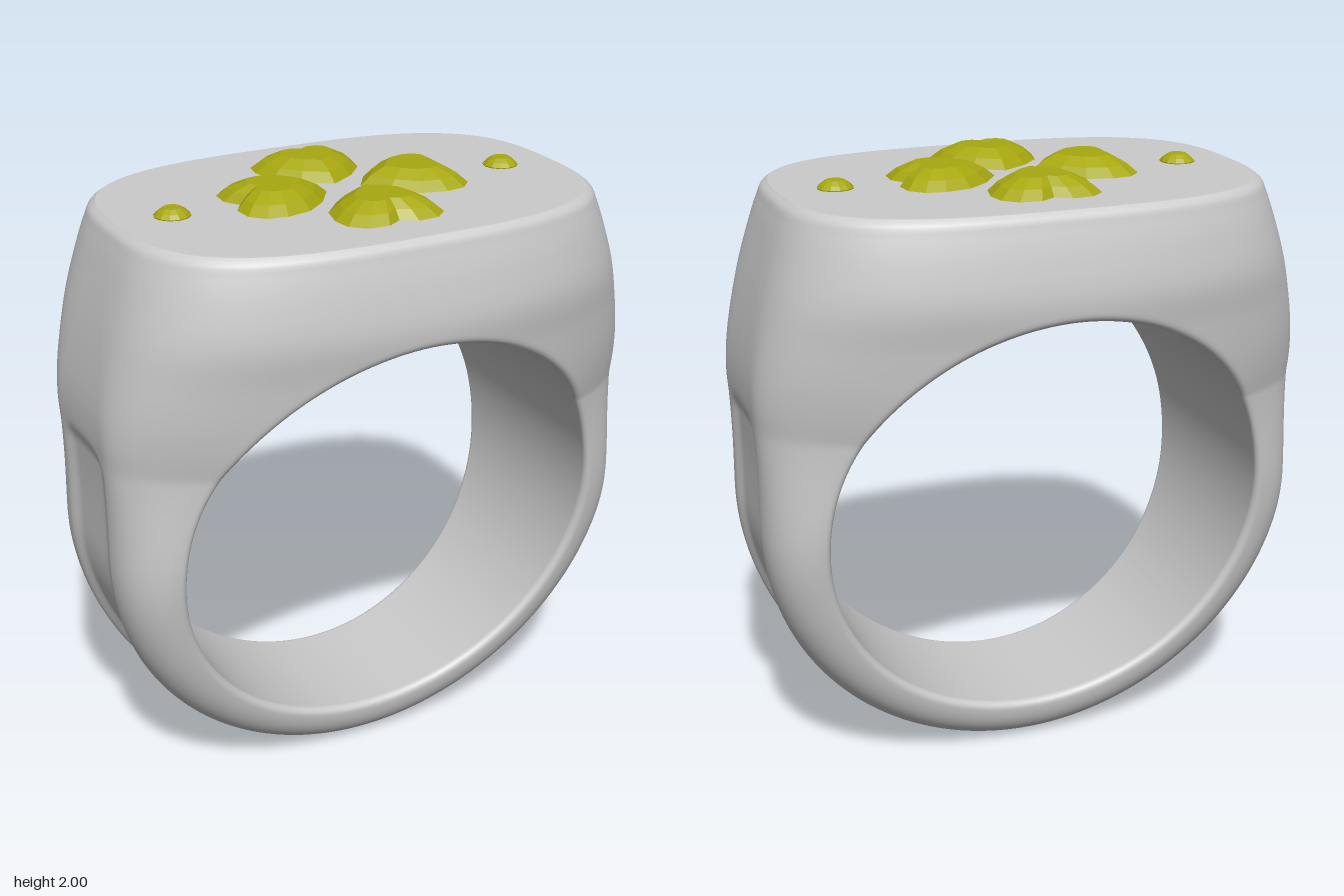
import * as THREE from 'three';

const TOP = 1.945, CY = 0.886;      // flat top height, finger hole centre
const HX = 0.737, HY = 0.723;       // finger hole half width and half height
const { lerp, clamp, smoothstep } = THREE.MathUtils;

// smooth curve through [y, value] pairs
function curve(pairs) {
  const c = new THREE.CubicInterpolant(pairs.map(p => p[0]), pairs.map(p => p[1]), 1, [0]);
  return y => c.evaluate(y)[0];
}

// half depth of the shank along the hole edge, by height
const shankDepth = curve([[0.16, 0.25], [0.3, 0.278], [0.545, 0.322], [0.915, 0.386], [1.26, 0.46], [1.61, 0.57]]);
// half depth of the head and shoulders on the middle plane, by height
const headDepth = curve([[0.8, 0.52], [1.1, 0.55], [1.4, 0.57], [1.55, 0.58], [1.68, 0.593], [1.8, 0.577],
  [1.9, 0.553], [1.93, 0.543], [TOP, 0.526]]);
// half width of the shoulders by height
const shoulderAt = curve([[0.915, 0.915], [1.1, 0.914], [1.25, 0.918], [1.33, 0.922], [1.42, 0.917], [1.6, 0.885],
  [1.8, 0.832], [1.9, 0.8], [1.93, 0.787], [TOP, 0.768]]);
const widthAt = y => y < 0.915 ? Math.sqrt(Math.max(0, 0.915 ** 2 - (y - 0.915) ** 2)) : shoulderAt(y);

// distance from the hole centre to the outer silhouette
function outerRadius(phi) {
  let lo = 0.7, hi = 1.6;
  for (let i = 0; i < 40; i++) {
    const r = (lo + hi) / 2, y = CY + r * Math.cos(phi);
    if (y < TOP && Math.abs(r * Math.sin(phi)) < widthAt(y)) lo = r; else hi = r;
  }
  return lo;
}

const round = (t, n) => Math.pow(Math.max(0, 1 - Math.pow(Math.min(1, t), n)), 1 / n);

// skin a grid of points (rows of equal length)
function skin(rows) {
  const w = rows[0].length, index = [];
  for (let i = 0; i < rows.length - 1; i++) for (let j = 0; j < w - 1; j++) {
    const a = i * w + j, b = a + w;
    index.push(a, b, b + 1, a, b + 1, a + 1);
  }
  const g = new THREE.BufferGeometry();
  g.setAttribute('position', new THREE.Float32BufferAttribute(rows.flat(2), 3));
  g.setIndex(index);
  g.computeVertexNormals();
  return g;
}

// closed cross-section of the band at one angle
function section(phi, corner) {
  const s = Math.sin(phi), c = Math.cos(phi), R = outerRadius(phi);
  const rin = 1 / Math.hypot(s / HX, c / HY);
  const low = smoothstep(-c, 0, 1);
  const channel = lerp(0.18, 0.1, low);             // half width of the outer channel
  const upper = smoothstep(c, -0.2, 0.55);
  const W = shankDepth(CY + rin * c);
  const half = [];
  // side face, from the hole out to the silhouette, with a small fillet at the hole
  const N = 30, F = 0.025;
  for (let k = 0; k <= N; k++) {
    const q = 0.5 - 0.5 * Math.cos(k / N * Math.PI), r = lerp(rin, R, q);
    const y = CY + r * c;
    const t = clamp((y - 1.25) / (TOP - 1.25), 0, 1);
    const flat = 0.18 * (1 - t * t);
    const head = flat + (headDepth(y) - flat) * round(Math.abs(r * s) / widthAt(y), lerp(1.85, 3, t));
    const shank = channel + (W - channel) * round(q, 2.2);
    const d = Math.max(0, 1 - (r - rin) / F);
    half.push([r, lerp(shank, head, upper) - F * (1 - Math.sqrt(1 - d * d))]);
  }
  // outer face: flat on top, a channel deepening down the shank
  const edge = half[N][1], yOut = CY + R * c;
  const depth = Math.abs(phi) > corner ? lerp(0.014, 0.06, low) : 0;
  const lip = lerp(0.4, 0.85, low);
  for (let k = 1; k <= 12; k++) {
    const t = Math.pow(k / 12, 1.4);
    // the channel ends in a rounded arch on the shoulder
    const arch = 1.29 - 0.06 * Math.pow(1 - t, 4);
    const cut = depth * smoothstep(t, 0, lip) * (1 - smoothstep(yOut, arch - 0.05, arch));
    half.push([R - cut, edge * (1 - t)]);
  }
  const back = half.slice(0, -1).reverse().map(([r, z]) => [r, -z]);
  return [[rin, 0], ...half, ...back, [rin, 0]].map(([r, z]) => [r * s, CY + r * c, z]);
}

function bandGeometry() {
  const corner = Math.atan2(0.768, TOP - CY);
  const angles = [];
  for (let i = 0; i <= 50; i++) angles.push(corner * Math.sin(i / 50 * Math.PI / 2));
  for (let i = 1; i <= 150; i++) angles.push(corner + (Math.PI - corner) * Math.pow(i / 150, 1.4));
  const all = [...angles.slice(1).reverse().map(a => -a), ...angles];
  return skin(all.map(a => section(a, corner)));
}

// faceted stone: an outline shrunk towards its centre in rising steps
function stoneGeometry(outline, cz, steps) {
  const loop = [...outline, outline[0]];
  return skin(steps.map(([k, y]) => loop.map(([x, z]) => [x * k, y, cz + (z - cz) * k])));
}

export function createModel() {
  const model = new THREE.Group();
  model.name = 'signetRing';
  const metal = new THREE.MeshStandardMaterial({ color: 0xcccccc });
  const gem = new THREE.MeshStandardMaterial({ color: 0xa8a810, flatShading: true });

  const band = new THREE.Mesh(bandGeometry(), metal);
  band.name = 'band';
  model.add(band);

  // four heart stones, points to the middle
  const right = [[0.09, 0.12], [0.155, 0.195], [0.175, 0.28], [0.165, 0.345], [0.12, 0.387], [0.05, 0.392]];
  const heart = [[0, 0.06], ...right, [0, 0.36], ...right.slice().reverse().map(([x, z]) => [-x, z])];
  const heartGeo = stoneGeometry(heart, 0.24, [[0.95, 1.92], [1, 1.945], [0.8, 1.974], [0.5, 2], [0, 2]]);
  for (let i = 0; i < 4; i++) {
    const m = new THREE.Mesh(heartGeo, gem);
    m.name = 'heartStone' + (i + 1);
    m.rotation.y = i * Math.PI / 2;
    model.add(m);
  }

  // small round stones at both ends
  const circle = Array.from({ length: 12 }, (_, i) => {
    const a = -Math.PI / 2 + i * Math.PI / 6;
    return [0.058 * Math.cos(a), 0.058 * Math.sin(a)];
  });
  const roundGeo = stoneGeometry(circle, 0, [[0.95, 1.93], [1, 1.948], [0.8, 1.96], [0.5, 1.972], [0, 1.972]]);
  for (const side of [1, -1]) {
    const m = new THREE.Mesh(roundGeo, gem);
    m.name = side > 0 ? 'leftRoundStone' : 'rightRoundStone';
    m.position.x = side * 0.585;
    model.add(m);
  }
  return model;
}
